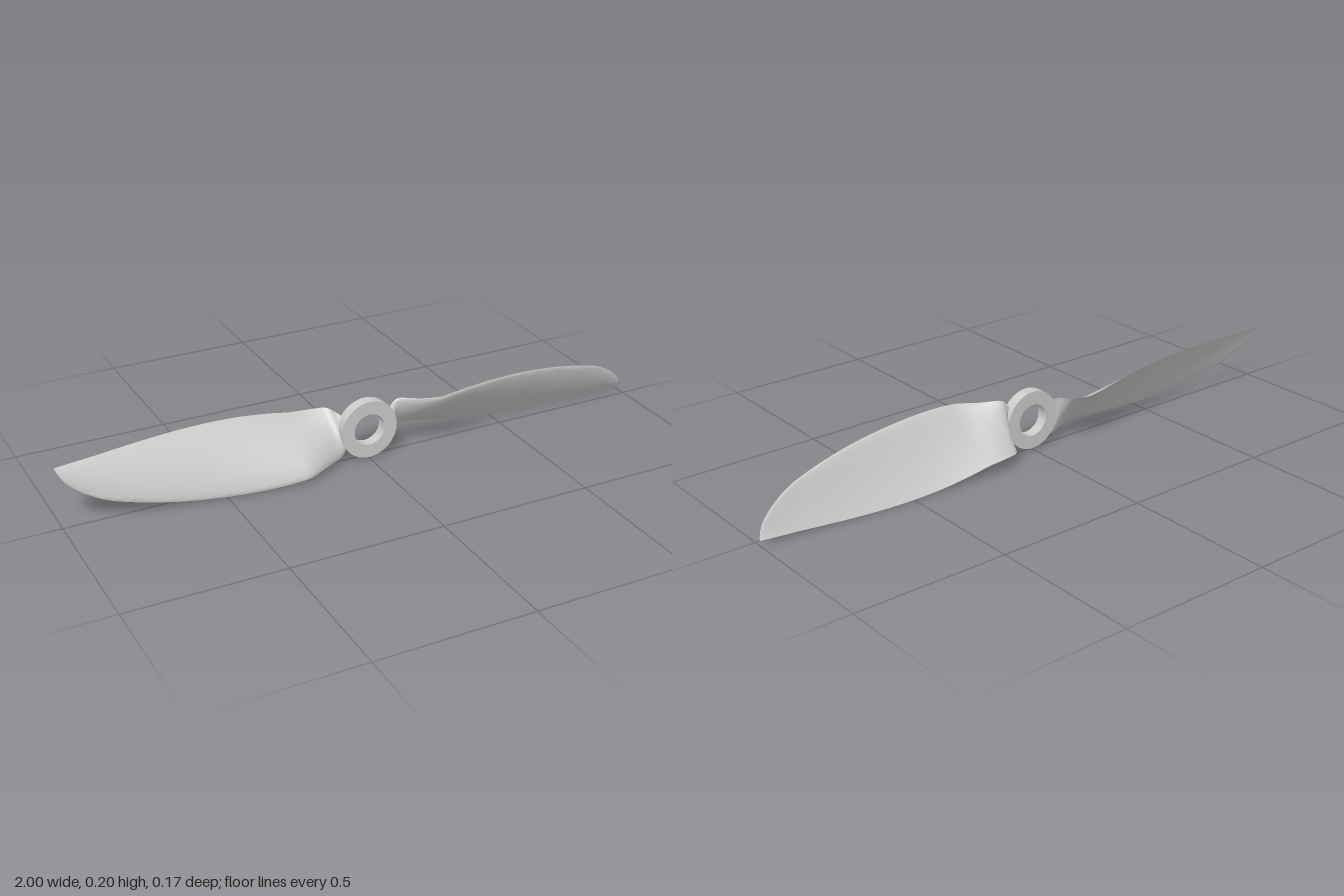
import * as THREE from 'three';
import { toCreasedNormals } from 'three/addons/utils/BufferGeometryUtils.js';

const CENTRE_Y = 0.105;

// Blade stations: x, leading edge y and z, trailing edge y and z, half thickness
const STATIONS = [
  [0.07, 0.150, 0.012, 0.065, -0.004, 0.007],
  [0.09, 0.180, 0.016, 0.048, -0.025, 0.010],
  [0.11, 0.190, 0.022, 0.043, -0.068, 0.012],
  [0.17, 0.188, 0.055, 0.045, -0.085, 0.012],
  [0.23, 0.193, 0.081, 0.039, -0.083, 0.011],
  [0.30, 0.200, 0.078, 0.026, -0.080, 0.011],
  [0.40, 0.204, 0.068, 0.012, -0.075, 0.010],
  [0.50, 0.202, 0.056, 0.005, -0.069, 0.009],
  [0.60, 0.194, 0.046, 0.003, -0.062, 0.008],
  [0.70, 0.180, 0.035, 0.005, -0.054, 0.007],
  [0.80, 0.158, 0.023, 0.010, -0.046, 0.006],
  [0.87, 0.137, 0.013, 0.014, -0.040, 0.005],
  [0.93, 0.105, 0.001, 0.017, -0.036, 0.004],
  [0.97, 0.074, -0.010, 0.019, -0.033, 0.003],
  [0.99, 0.047, -0.018, 0.020, -0.031, 0.002],
  [1.00, 0.024, -0.027, 0.020, -0.030, 0.001],
];

// Cambered aerofoil sections lofted from the root to the tip
function bladeGeometry() {
  const edge = (k) => new THREE.CatmullRomCurve3(
    STATIONS.map((s) => new THREE.Vector3(s[0], s[k], s[k + 1])), false, 'catmullrom', 0.4);
  const lead = edge(1), trail = edge(3);
  const rows = (STATIONS.length - 1) * 4, half = 16, ring = half * 2;
  const pos = [], index = [];

  for (let i = 0; i <= rows; i++) {
    const t = i / rows, f = t * (STATIONS.length - 1);
    const k = Math.min(Math.floor(f), STATIONS.length - 2);
    const thick = THREE.MathUtils.lerp(STATIONS[k][5], STATIONS[k + 1][5], f - k);
    const a = lead.getPoint(t), b = trail.getPoint(t);
    const chord = b.clone().sub(a);
    const normal = new THREE.Vector3(0, chord.z, -chord.y).normalize();
    for (let j = 0; j < ring; j++) {
      const front = j <= half;
      const v = (front ? j : ring - j) / half;
      const u = (1 - Math.cos(v * Math.PI)) / 2;
      const camber = thick * 4 * u * (1 - u);
      const body = thick * Math.sqrt(u) * (1 - u) / 0.385;
      const p = a.clone().lerp(b, u).addScaledVector(normal, camber + (front ? body : -body));
      pos.push(p.x, p.y - CENTRE_Y, p.z);
    }
  }
  for (let i = 0; i < rows; i++) {
    for (let j = 0; j < ring; j++) {
      const a = i * ring + j, c = i * ring + (j + 1) % ring;
      index.push(a, c, a + ring, c, c + ring, a + ring);
    }
  }
  // End caps
  for (let j = 1; j < ring - 1; j++) {
    const e = rows * ring;
    index.push(0, j + 1, j, e, e + j, e + j + 1);
  }
  const geo = new THREE.BufferGeometry();
  geo.setAttribute('position', new THREE.Float32BufferAttribute(pos, 3));
  geo.setIndex(index);
  return toCreasedNormals(geo, 0.6);
}

export function createModel() {
  const group = new THREE.Group();
  group.name = 'propeller';
  const material = new THREE.MeshStandardMaterial({ color: 0xcccccc });

  // Ring hub with a round bore
  const shape = new THREE.Shape().absarc(0, 0, 0.097, 0, Math.PI * 2);
  shape.holes.push(new THREE.Path().absarc(0, 0, 0.053, 0, Math.PI * 2, true));
  const hubGeometry = new THREE.ExtrudeGeometry(shape, { depth: 0.037, bevelEnabled: false, curveSegments: 32 });
  const hub = new THREE.Mesh(toCreasedNormals(hubGeometry, 0.6), material);
  hub.name = 'hub';
  hub.position.set(0, CENTRE_Y, -0.012);
  group.add(hub);

  // Two blades, half a turn apart
  const geometry = bladeGeometry();
  ['leftBlade', 'rightBlade'].forEach((name, i) => {
    const blade = new THREE.Mesh(geometry, material);
    blade.name = name;
    blade.position.y = CENTRE_Y;
    blade.rotation.z = i * Math.PI;
    group.add(blade);
  });
  return group;
}
